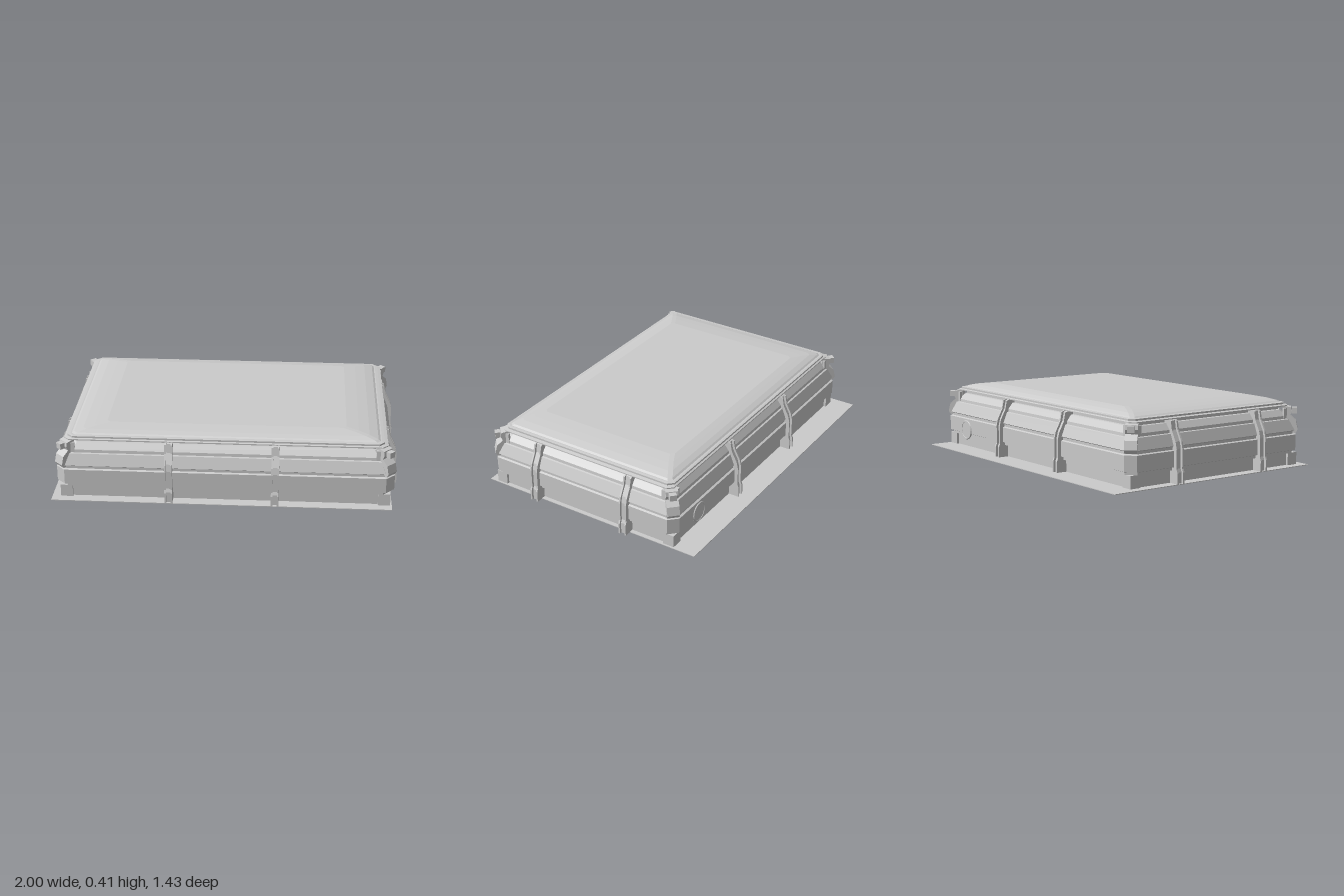
import * as THREE from 'three';

const ZC = 0.04; // the case sits slightly forward of the base plate
const HX = 0.97, HZ = 0.64; // half sizes of the case at its belt

const material = new THREE.MeshStandardMaterial({ color: 0xcccccc, flatShading: true, side: THREE.DoubleSide });

function add(parent, name, geometry, x = 0, y = 0, z = 0) {
  const mesh = new THREE.Mesh(geometry, material);
  mesh.name = name;
  mesh.position.set(x, y, z);
  parent.add(mesh);
  return mesh;
}

const box = (parent, name, w, h, d, x, y, z) => add(parent, name, new THREE.BoxGeometry(w, h, d), x, y, z);

// Stack of chamfered rectangles, rows of [halfX, halfZ, chamfer, y], closed on top
function loft(rows) {
  const points = [], index = [];
  for (const [a, b, c, y] of rows) {
    const ring = [[a, b - c], [a, c - b], [a - c, -b], [c - a, -b], [-a, c - b], [-a, b - c], [c - a, b], [a - c, b]];
    for (const [x, z] of ring) points.push(x, y, z);
  }
  for (let r = 0; r < rows.length - 1; r++) {
    for (let i = 0; i < 8; i++) {
      const p = r * 8 + i, q = r * 8 + (i + 1) % 8;
      index.push(p, q, q + 8, p, q + 8, p + 8);
    }
  }
  const top = (rows.length - 1) * 8;
  for (let i = 1; i < 7; i++) index.push(top, top + i, top + i + 1);
  const geometry = new THREE.BufferGeometry();
  geometry.setAttribute('position', new THREE.Float32BufferAttribute(points, 3));
  geometry.setIndex(index);
  const flat = geometry.toNonIndexed();
  flat.computeVertexNormals();
  return flat;
}

// Plate cut to a profile (outward, up), centred on its thickness
function profilePlate(points, depth) {
  const shape = new THREE.Shape(points.map(([x, y]) => new THREE.Vector2(x, y)));
  return new THREE.ExtrudeGeometry(shape, { depth, bevelEnabled: false }).translate(0, 0, -depth / 2);
}

// Channel-shaped strap: two fins with a recessed web between them
const FIN = [[-0.1, 0.005], [0.03, 0.005], [0.03, 0.07], [0.022, 0.09], [0.022, 0.2], [0.012, 0.24],
  [-0.02, 0.3], [-0.03, 0.35], [-0.07, 0.365], [-0.1, 0.35]];
function strap(parent, name, x, z, angle, width) {
  const group = new THREE.Group();
  group.name = name;
  group.position.set(x, 0, z);
  group.rotation.y = angle;
  for (const s of [-1, 1]) add(group, 'strapFin', profilePlate(FIN, 0.01), 0, 0, s * (width / 2 - 0.005));
  add(group, 'strapWeb', profilePlate(FIN, width - 0.02), -0.014, 0, 0);
  parent.add(group);
}

export function createModel() {
  const model = new THREE.Group();
  model.name = 'lowCase';

  // Base plate with a thin nested grid on its underside
  box(model, 'basePlate', 1.96, 0.004, 1.43, -0.02, 0.006, -0.005);
  const grid = new THREE.Group();
  grid.name = 'undersideGrid';
  model.add(grid);
  for (const [w, d] of [[1.39, 0.97], [1.27, 0.85]]) {
    for (const s of [-1, 1]) {
      box(grid, 'gridFrame', w, 0.004, 0.012, -0.015, 0.002, 0.005 + s * d / 2);
      box(grid, 'gridFrame', 0.012, 0.004, d, -0.015 + s * w / 2, 0.002, 0.005);
    }
  }
  for (const s of [-1, 1]) {
    box(grid, 'gridBar', 1.27, 0.004, 0.02, -0.015, 0.002, 0.005 + s * 0.142);
    box(grid, 'gridBar', 0.02, 0.004, 0.85, -0.015 + s * 0.212, 0.002, 0.005);
  }

  // Case walls: recessed foot, upright belt, stepped slopes up to the lid
  const steps = [[-0.035, 0.005], [-0.035, 0.075], [-0.015, 0.08], [-0.015, 0.095], [0, 0.1], [0, 0.19], [-0.012, 0.195],
    [-0.012, 0.21], [-0.004, 0.215], [-0.03, 0.28], [-0.04, 0.283], [-0.042, 0.3], [-0.07, 0.335], [-0.085, 0.337]];
  add(model, 'caseWalls', loft(steps.map(([d, y]) => [HX + d, HZ + d, 0.05, y])), 0, 0, ZC);

  // Lid: neck, thin overhanging lip and shallow domed panel
  add(model, 'lidNeck', loft([[0.885, 0.555, 0.03, 0.33], [0.885, 0.555, 0.03, 0.36]]), 0, 0, ZC);
  add(model, 'lidLip', loft([[0.9, 0.57, 0.03, 0.352], [0.925, 0.59, 0.03, 0.356], [0.925, 0.59, 0.03, 0.362],
    [0.905, 0.58, 0.03, 0.366], [0.905, 0.58, 0.03, 0.376], [0.89, 0.57, 0.02, 0.378]]), 0, 0, ZC);
  add(model, 'lidPanel', loft([[0.89, 0.565, 0.02, 0.374], [0.87, 0.55, 0.02, 0.385], [0.82, 0.52, 0.02, 0.397],
    [0.76, 0.485, 0.02, 0.405], [0.69, 0.45, 0.02, 0.412]]), 0, 0, ZC);

  // Straps, two on every side
  for (const x of [-0.32, 0.29]) strap(model, 'frontStrap', x, ZC + HZ, -Math.PI / 2, 0.045);
  for (const x of [-0.31, 0.31]) strap(model, 'backStrap', x, ZC - HZ, Math.PI / 2, 0.045);
  for (const z of [-0.27, 0.35]) {
    strap(model, 'leftStrap', HX, z, 0, 0.05);
    strap(model, 'rightStrap', -HX, z, Math.PI, 0.05);
  }

  // Corner fittings: foot block, clamp and end tabs
  const clamp = [[-0.08, 0.2], [0, 0.2], [0.012, 0.22], [0, 0.27], [-0.035, 0.3], [-0.025, 0.325], [-0.03, 0.35], [-0.08, 0.36]];
  for (const sx of [-1, 1]) {
    for (const sz of [-1, 1]) {
      const corner = new THREE.Group();
      corner.name = 'cornerFitting';
      corner.position.set(sx * (HX - 0.025), 0, ZC + sz * (HZ - 0.025));
      corner.rotation.y = Math.atan2(-sz, sx);
      add(corner, 'cornerClamp', profilePlate(clamp, 0.07));
      box(corner, 'cornerPin', 0.03, 0.035, 0.04, -0.01, 0.33, 0);
      model.add(corner);
      box(model, 'cornerFoot', 0.07, 0.075, 0.07, sx * 0.915, 0.043, ZC + sz * 0.585);
      box(model, 'cornerTab', 0.05, 0.06, 0.014, sx * 0.885, 0.315, ZC + sz * 0.595);
      box(model, 'cornerTab', 0.014, 0.06, 0.05, sx * 0.925, 0.315, ZC + sz * 0.555);
    }
  }

  // Round port on the back wall
  const port = new THREE.Group();
  port.name = 'backPort';
  port.position.set(0.72, 0.12, ZC - HZ);
  add(port, 'portRim', new THREE.TorusGeometry(0.055, 0.006, 6, 24));
  add(port, 'portCover', new THREE.CylinderGeometry(0.052, 0.052, 0.006, 24)).rotation.x = Math.PI / 2;
  model.add(port);

  return model;
}
